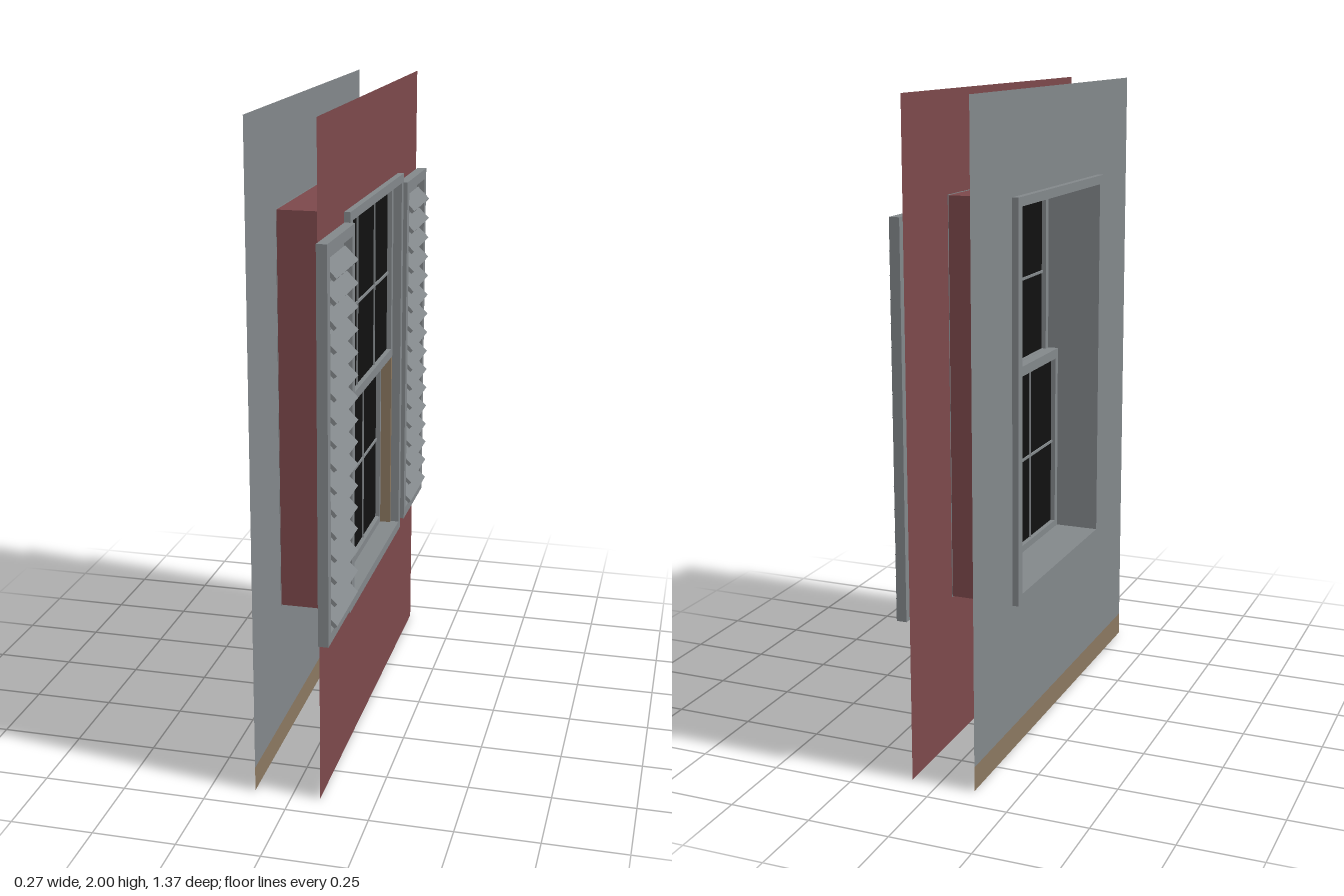
import * as THREE from 'three';

const mat = (name, color, side = THREE.FrontSide) => {
  const m = new THREE.MeshStandardMaterial({ color, side });
  m.name = name;
  return m;
};

export function createModel() {
  const root = new THREE.Group();
  root.name = 'shutteredWindow';
  const brick = mat('brick red', 0x7c484b, THREE.DoubleSide);
  const grey = mat('painted grey', 0x82878a, THREE.DoubleSide);
  const glass = mat('dark glass', 0x101010, THREE.DoubleSide);
  const wood = mat('tan wood', 0x8a7760, THREE.DoubleSide);

  const add = (parent, name, geometry, material) => {
    const mesh = new THREE.Mesh(geometry, material);
    mesh.name = name;
    parent.add(mesh);
    return mesh;
  };

  // Axis-aligned box from its x, y and z ranges
  const box = (parent, name, material, [x0, x1], [y0, y1], [z0, z1]) => {
    const mesh = add(parent, name, new THREE.BoxGeometry(x1 - x0, y1 - y0, z1 - z0), material);
    mesh.position.set((x0 + x1) / 2, (y0 + y1) / 2, (z0 + z1) / 2);
    return mesh;
  };

  // Rectangle (half width, bottom, top) with a rectangular hole
  const rect = (target, w, y0, y1) => {
    target.moveTo(-w, y0);
    target.lineTo(w, y0);
    target.lineTo(w, y1);
    target.lineTo(-w, y1);
    target.closePath();
    return target;
  };
  const ring = (outer, inner) => {
    const shape = rect(new THREE.Shape(), ...outer);
    shape.holes.push(rect(new THREE.Path(), ...inner));
    return shape;
  };

  // Rectangular frame between two x positions
  const frame = (parent, name, material, x0, x1, outer, inner) => {
    const g = new THREE.ExtrudeGeometry(ring(outer, inner), { depth: x1 - x0, bevelEnabled: false });
    g.rotateY(Math.PI / 2);
    const mesh = add(parent, name, g, material);
    mesh.position.x = x0;
    return mesh;
  };

  // Thin wall sheets with the window opening
  const wall = (name, material, x, y0) => {
    const g = new THREE.ShapeGeometry(ring([0.667, y0, 2], [0.35, 0.49, 1.68]));
    g.rotateY(Math.PI / 2);
    add(root, name, g, material).position.x = x;
  };
  wall('outerWall', brick, 0.085, 0);
  wall('innerWall', grey, -0.115, 0.075);
  const base = new THREE.PlaneGeometry(1.334, 0.075).rotateY(Math.PI / 2);
  add(root, 'baseboard', base, wood).position.set(-0.115, 0.0375, 0);

  // Window casing: brick surround, grey reveal and trims
  const casing = new THREE.Group();
  casing.name = 'casing';
  root.add(casing);
  frame(casing, 'brickSurround', brick, -0.114, 0.084, [0.367, 0.473, 1.698], [0.355, 0.485, 1.685]);
  frame(casing, 'reveal', grey, -0.114, 0.084, [0.355, 0.485, 1.685], [0.34, 0.5, 1.672]);
  frame(casing, 'outerTrim', grey, 0.084, 0.104, [0.37, 0.47, 1.7], [0.34, 0.5, 1.672]);
  frame(casing, 'innerTrim', grey, -0.135, -0.114, [0.37, 0.47, 1.7], [0.34, 0.5, 1.672]);

  // Two sashes, each with a pane and two-by-three glazing bars
  const sash = (name, x, y0, y1, g0, g1, barY) => {
    const s = new THREE.Group();
    s.name = name;
    root.add(s);
    frame(s, 'sashFrame', grey, x - 0.017, x + 0.017, [0.34, y0, y1], [0.317, g0, g1]);
    box(s, 'pane', glass, [x - 0.002, x + 0.002], [g0, g1], [-0.317, 0.317]);
    box(s, 'crossBar', grey, [x - 0.007, x + 0.007], [barY - 0.004, barY + 0.004], [-0.317, 0.317]);
    for (const z of [-0.117, 0.117])
      box(s, 'uprightBar', grey, [x - 0.007, x + 0.007], [g0, g1], [z - 0.002, z + 0.002]);
  };
  sash('upperSash', 0.06, 1.09, 1.672, 1.12, 1.652, 1.38);
  sash('lowerSash', 0.025, 0.5, 1.12, 0.522, 1.088, 0.802);

  // Shutters with slanted louvres, and wooden sash tracks below the upper sash
  for (const side of [1, -1]) {
    const zs = side > 0 ? [0.328, 0.34] : [-0.34, -0.328];
    box(root, 'sashTrack', wood, [0.042, 0.076], [0.5, 1.09], zs);

    const shutter = new THREE.Group();
    shutter.name = side > 0 ? 'leftShutter' : 'rightShutter';
    shutter.position.z = side * 0.527;
    root.add(shutter);
    frame(shutter, 'shutterFrame', grey, 0.086, 0.117, [0.16, 0.503, 1.67], [0.129, 0.535, 1.637]);
    box(shutter, 'backing', grey, [0.087, 0.092], [0.535, 1.637], [-0.129, 0.129]);
    for (let i = 0; i < 16; i++) {
      const slat = add(shutter, 'louvre', new THREE.BoxGeometry(0.056, 0.012, 0.256), grey);
      slat.position.set(0.111, 0.573 + i * 0.0676, 0);
      slat.rotation.z = -Math.PI / 4;
    }
  }
  return root;
}
